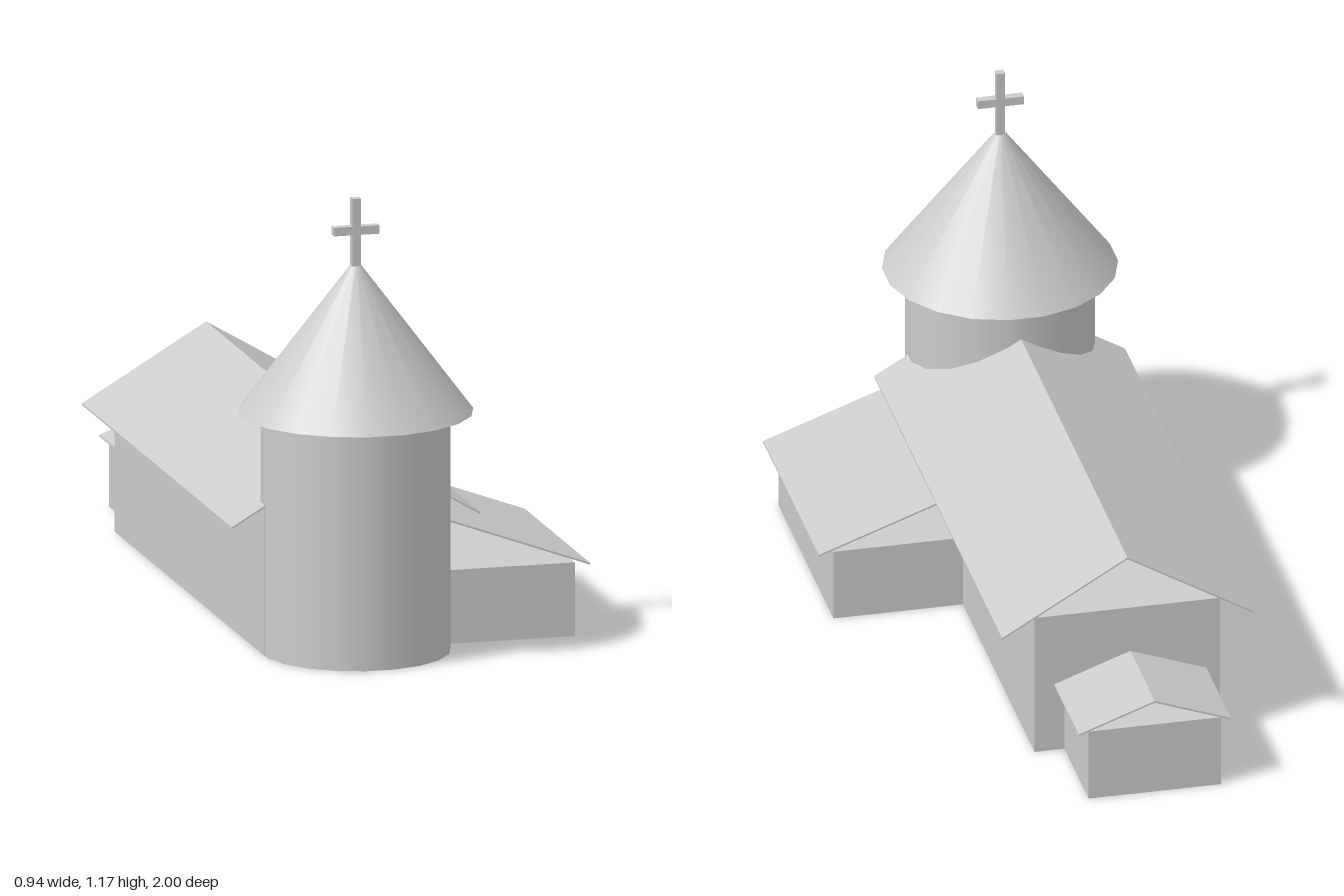
import * as THREE from 'three';

const material = new THREE.MeshStandardMaterial({ color: 0xcccccc });
const AXIS = -0.145; // x of the tower and the nave ridge
const TOWER_Z = 0.705;
const SIDES = 20;

export function createModel() {
  const model = new THREE.Group();

  const add = (name, geometry) => {
    const mesh = new THREE.Mesh(geometry, material);
    mesh.name = name;
    model.add(mesh);
    return mesh;
  };

  // Box given by its extents
  const block = (name, x0, x1, y0, y1, z0, z1) =>
    add(name, new THREE.BoxGeometry(x1 - x0, y1 - y0, z1 - z0))
      .position.set((x0 + x1) / 2, (y0 + y1) / 2, (z0 + z1) / 2);

  // Thin sheet following a line of [x, y] points, extruded along z
  const roof = (name, line, z0, z1, thickness = 0.005) => {
    const under = line.map(([x, y]) => [x, y - thickness]).reverse();
    const shape = new THREE.Shape([...line, ...under].map(([x, y]) => new THREE.Vector2(x, y)));
    add(name, new THREE.ExtrudeGeometry(shape, { depth: z1 - z0, bevelEnabled: false }))
      .position.z = z0;
  };

  // Round tower and its conical roof, flats facing the axes
  const round = (name, rTop, rBottom, y0, y1) => {
    const mesh = add(name, new THREE.CylinderGeometry(rTop, rBottom, y1 - y0, SIDES));
    mesh.position.set(AXIS, (y0 + y1) / 2, TOWER_Z);
    mesh.rotation.y = Math.PI / SIDES;
  };
  round('tower', 0.241, 0.241, 0, 0.62);
  round('towerRoof', 0.015, 0.299, 0.62, 0.997);

  // Cross on the tower
  const c = 0.011;
  block('crossPost', AXIS - c, AXIS + c, 0.99, 1.172, TOWER_Z - c, TOWER_Z + c);
  block('crossArm', AXIS - 0.06, AXIS + 0.06, 1.078, 1.1, TOWER_Z - c, TOWER_Z + c);

  // Nave with an open gable roof
  block('naveWalls', AXIS - 0.24, AXIS + 0.24, 0, 0.384, -0.725, TOWER_Z);
  roof('naveRoof', [[-0.47, 0.338], [AXIS, 0.53], [0.18, 0.338]], -0.728, 0.708);

  // Small chancel at the back
  block('chancelWalls', -0.325, 0.018, 0, 0.192, -0.998, -0.725);
  roof('chancelRoof', [[-0.35, 0.188], [-0.153, 0.26], [0.044, 0.188]], -1, -0.725);

  // Side annexe under a lean-to roof
  block('annexeWalls', 0.09, 0.43, 0, 0.191, 0.083, 0.703);
  roof('annexeRoof', [[0.093, 0.325], [0.469, 0.188]], 0.08, 0.705);

  return model;
}
